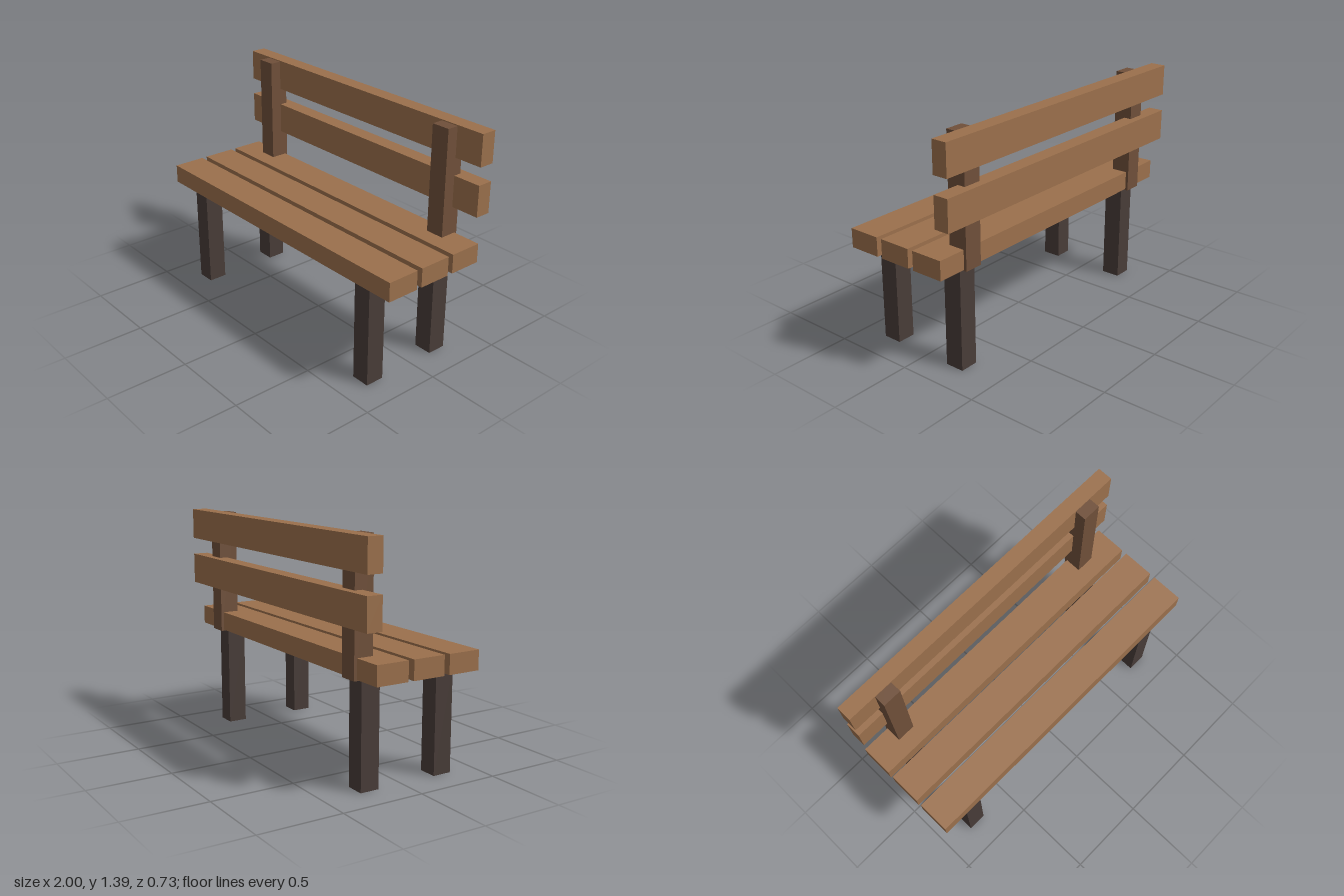
import * as THREE from 'three';

const slatWood = new THREE.MeshStandardMaterial({ color: 0x9b704c });
const postWood = new THREE.MeshStandardMaterial({ color: 0x70503a });
const legWood = new THREE.MeshStandardMaterial({ color: 0x483c38 });

// Box spanning [min, max] on each axis
function beam(name, material, [x0, x1], [y0, y1], [z0, z1]) {
  const mesh = new THREE.Mesh(new THREE.BoxGeometry(x1 - x0, y1 - y0, z1 - z0), material);
  mesh.position.set((x0 + x1) / 2, (y0 + y1) / 2, (z0 + z1) / 2);
  mesh.name = name;
  return mesh;
}

export function createModel() {
  const bench = new THREE.Group();
  bench.name = 'bench';
  const fullWidth = [-1, 1];

  // Seat: three planks with narrow gaps
  ['frontSeatPlank', 'middleSeatPlank', 'rearSeatPlank'].forEach((name, i) => {
    const front = 0.367 - i * 0.235;
    bench.add(beam(name, slatWood, fullWidth, [0.628, 0.743], [front - 0.2, front]));
  });

  // Backrest: two boards fixed behind the posts
  bench.add(beam('lowerBackBoard', slatWood, fullWidth, [0.91, 1.098], [-0.367, -0.273]));
  bench.add(beam('upperBackBoard', slatWood, fullWidth, [1.203, 1.391], [-0.367, -0.273]));

  // Legs and back posts, mirrored left and right
  for (const [side, s] of [['left', 1], ['right', -1]]) {
    const span = [s * 0.765 - 0.057, s * 0.765 + 0.057];
    bench.add(beam(side + 'FrontLeg', legWood, span, [0, 0.63], [0.223, 0.339]));
    bench.add(beam(side + 'RearLeg', legWood, span, [0, 0.63], [-0.272, -0.156]));
    bench.add(beam(side + 'BackPost', postWood, span, [0.621, 1.385], [-0.32, -0.203]));
  }
  return bench;
}
